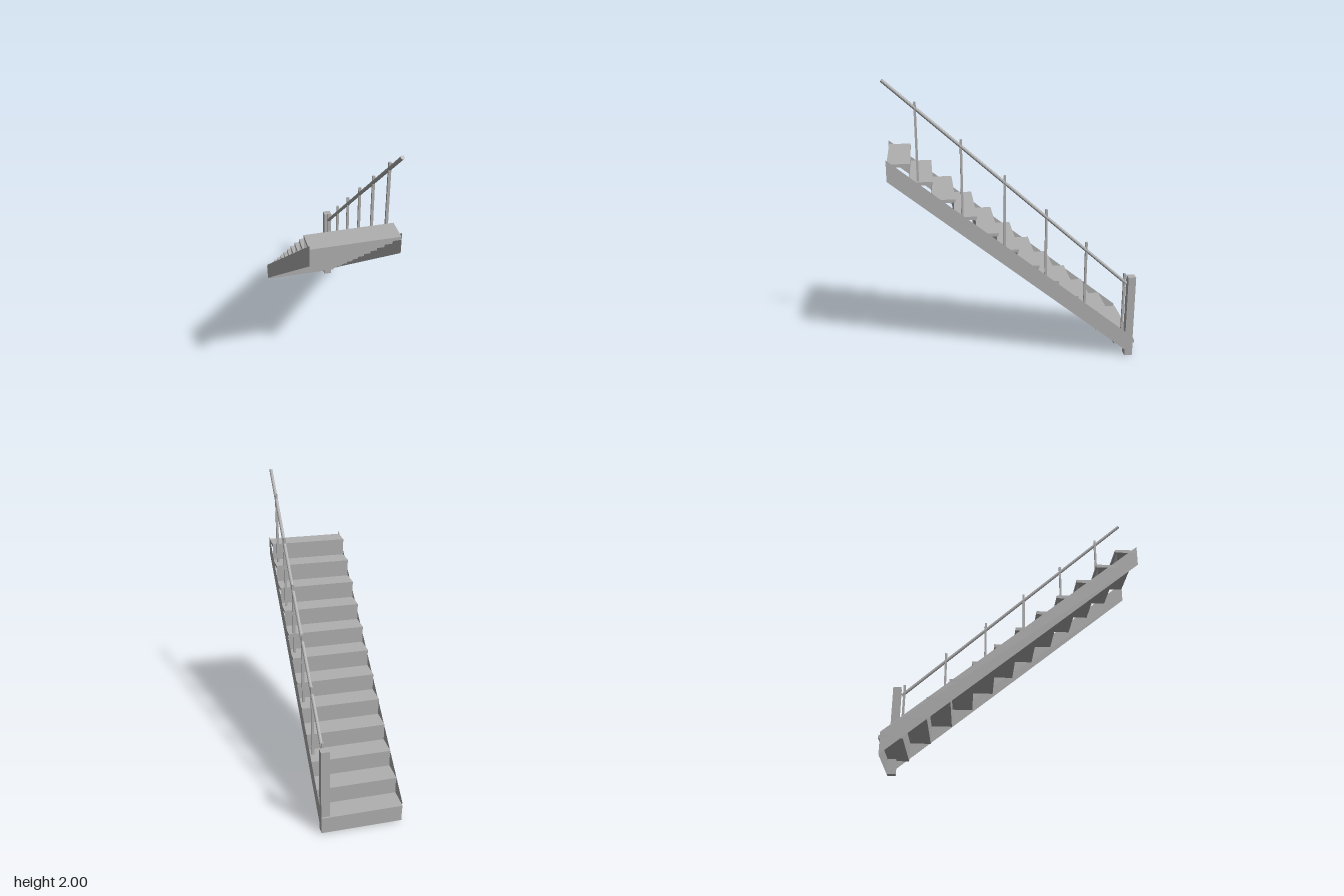
import * as THREE from 'three';

export function createModel() {
  const group = new THREE.Group();
  const grey = new THREE.MeshStandardMaterial({ color: 0xb0b0b0, side: THREE.DoubleSide, flatShading: true });
  grey.name = 'grey';

  const add = (name, geometry, x, y, z) => {
    const mesh = new THREE.Mesh(geometry, grey);
    mesh.name = name;
    mesh.position.set(x, y, z);
    group.add(mesh);
    return mesh;
  };

  const halfWidth = 0.271, steps = 12;
  const rise = 0.1226, run = 0.1382;
  const depth = 0.148, thick = 0.022, firstNose = -0.84;

  // Treads with thin risers standing flush with the back of the tread below
  for (let k = 0; k < steps; k++) {
    const top = rise * (k + 1);
    const nose = firstNose + run * k;
    add('tread', new THREE.BoxGeometry(2 * halfWidth, thick, depth), 0, top - thick / 2, nose + depth / 2);
    const low = k === 0 ? 0 : top - rise - thick;
    const high = top - thick;
    const riser = add('riser', new THREE.PlaneGeometry(2 * halfWidth, high - low),
      0, (low + high) / 2, nose + depth - run);
    riser.rotation.y = Math.PI;
  }

  // Sheet stringers on both sides, cut plumb at the ends (shape x runs along -z)
  const side = new THREE.Shape([
    [-0.832, 1.358], [0.83, 0.003], [0.83, 0.143], [-0.832, 1.499],
  ].map(([x, y]) => new THREE.Vector2(x, y)));
  for (const s of [1, -1]) {
    const stringer = add(s > 0 ? 'leftStringer' : 'rightStringer', new THREE.ShapeGeometry(side), s * halfWidth, 0, 0);
    stringer.rotation.y = Math.PI / 2;
  }

  // Newel post at the foot of the stairs
  add('newelPost', new THREE.BoxGeometry(0.056, 0.607, 0.054), 0.242, 0.3035, -0.801);

  // Balusters on every second tread
  const railX = 0.242, balusterHeight = 0.508;
  for (let k = 0; k < steps; k += 2) {
    add('baluster', new THREE.BoxGeometry(0.017, balusterHeight, 0.015),
      railX, rise * (k + 1) + balusterHeight / 2, -0.752 + run * k * 1.005);
  }

  // Sloping handrail
  const start = new THREE.Vector3(railX, 0.556, -0.766);
  const end = new THREE.Vector3(railX, 1.991, 0.831);
  const along = end.clone().sub(start);
  const middle = start.clone().add(end).multiplyScalar(0.5);
  const rail = add('handrail', new THREE.CylinderGeometry(0.0115, 0.0115, along.length(), 10),
    middle.x, middle.y, middle.z);
  rail.quaternion.setFromUnitVectors(new THREE.Vector3(0, 1, 0), along.normalize());

  return group;
}
